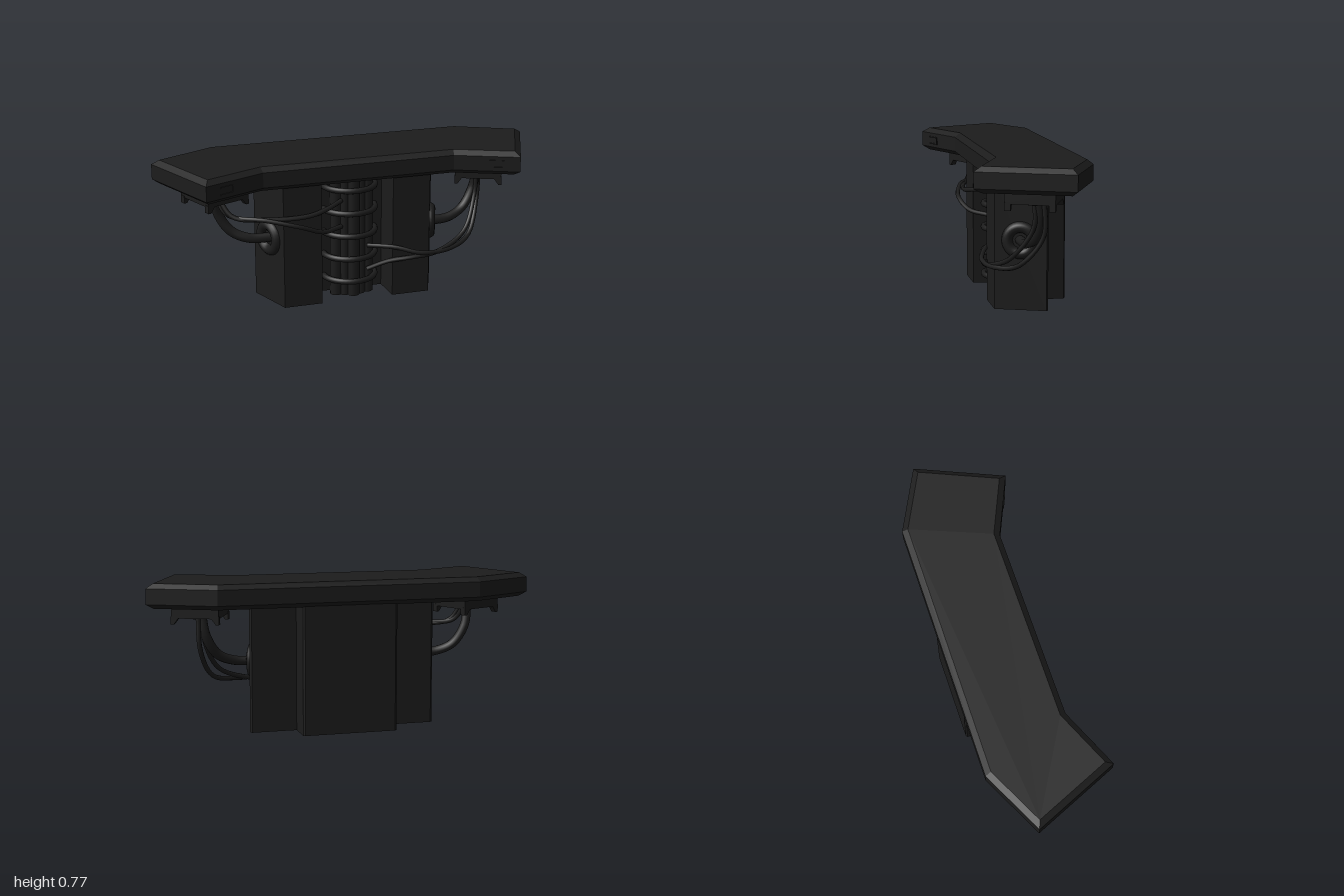
import * as THREE from 'three';

const WING = 0.41; // angle of the side wings
const mat = new THREE.MeshStandardMaterial({ color: 0x1c1c1c, roughness: 0.8 });

function add(parent, name, geometry) {
  const mesh = new THREE.Mesh(geometry, mat);
  mesh.name = name;
  parent.add(mesh);
  return mesh;
}

// Mirrors a half outline [x, z] across x = 0 and extrudes it along y
function slab(half, top, options) {
  const pts = [...half, ...half.map(([x, z]) => [-x, z]).reverse()];
  const shape = new THREE.Shape(pts.map(([x, z]) => new THREE.Vector2(x, z)));
  const geo = new THREE.ExtrudeGeometry(shape, options);
  return geo.rotateX(Math.PI / 2).translate(0, top, 0);
}

function cable(parent, name, points, radius) {
  const curve = new THREE.CatmullRomCurve3(points.map((p) => new THREE.Vector3(...p)));
  return add(parent, name, new THREE.TubeGeometry(curve, 32, radius, 8));
}

export function createModel() {
  const model = new THREE.Group();
  model.name = 'desk';

  // Bevelled top with angled wings
  add(model, 'deskTop', slab(
    [[0.675, -0.3], [1, -0.14], [0.81, 0.3], [0.5, 0.165]], 0.75,
    { depth: 0.078, bevelThickness: 0.023, bevelSize: 0.03, bevelOffset: -0.03, bevelSegments: 1 }));

  // Pedestal: two columns, a back block and a recess at the front
  add(model, 'pedestal', slab(
    [[0.235, -0.275], [0.245, -0.268], [0.245, -0.132], [0.475, -0.132], [0.485, -0.122],
      [0.39, 0.12], [0.19, 0.12], [0.18, -0.04]], 0.655,
    { depth: 0.655, bevelEnabled: false }));

  // Vertical pipes in the recess, tied by curved hoops
  for (let i = -2; i <= 2; i++) {
    const r = i % 2 ? 0.026 : 0.032;
    add(model, 'pipe', new THREE.CylinderGeometry(r, r, 0.655, 12))
      .position.set(i * 0.042, 0.3275, 0.045 - Math.abs(i) * 0.018);
  }
  for (let i = 0; i < 5; i++) {
    const hoop = add(model, 'pipeHoop', new THREE.TorusGeometry(0.137, 0.016, 8, 24, Math.PI));
    hoop.rotation.x = Math.PI / 2;
    hoop.position.set(0, 0.09 + i * 0.124, -0.04);
  }

  // Hook profile for the bracket corners
  const hookShape = new THREE.Shape([[0, 0.01], [0, -0.03], [0.016, -0.03], [0.045, 0.01]]
    .map(([x, y]) => new THREE.Vector2(x, y)).reverse());

  for (const s of [1, -1]) {
    const side = s > 0 ? 'left' : 'right';

    // Bracket under the wing
    const bracket = new THREE.Group();
    bracket.name = side + 'Bracket';
    bracket.position.set(s * 0.71, 0.59, -0.008);
    bracket.rotation.y = -s * WING;
    model.add(bracket);
    add(bracket, 'bracketPlate', new THREE.BoxGeometry(0.24, 0.065, 0.24)).position.y = 0.0325;
    add(bracket, 'cableSocket', new THREE.CylinderGeometry(0.05, 0.04, 0.02, 16)).position.y = -0.006;
    for (const a of [1, -1]) for (const b of [1, -1]) {
      const geo = new THREE.ExtrudeGeometry(hookShape, { depth: 0.03, bevelEnabled: false });
      const hook = add(bracket, 'hook', geo.translate(0, 0, -0.015));
      hook.position.set(a * 0.122, 0, b * 0.105);
      hook.rotation.y = a > 0 ? Math.PI : 0;
    }

    // Small latch frame on the front edge of the wing
    const latch = new THREE.Group();
    latch.name = side + 'Latch';
    latch.position.set(s * 0.7, 0.71, 0.252);
    latch.rotation.y = -s * WING;
    model.add(latch);
    for (const t of [1, -1]) {
      add(latch, 'latchBar', new THREE.BoxGeometry(0.075, 0.006, 0.01)).position.y = t * 0.018;
    }
    add(latch, 'latchEnd', new THREE.BoxGeometry(0.006, 0.042, 0.01)).position.x = -s * 0.035;

    // Cable port on the slanted column side
    const port = add(model, side + 'CablePort', new THREE.TorusGeometry(0.066, 0.028, 12, 32));
    port.position.set(s * 0.437, 0.35, 0);
    port.rotation.y = s * 1.195;

    // Thick power cable
    cable(model, side + 'ThickCable', [
      [s * 0.71, 0.6, -0.03], [s * 0.69, 0.49, -0.045], [s * 0.63, 0.395, -0.03],
      [s * 0.54, 0.355, -0.005], [s * 0.42, 0.35, 0]], 0.025);
  }

  // Thin cables from the left bracket to the pipes
  cable(model, 'leftThinCable', [
    [0.73, 0.6, -0.05], [0.72, 0.42, -0.05], [0.64, 0.27, 0.05], [0.5, 0.235, 0.14],
    [0.33, 0.24, 0.172], [0.2, 0.27, 0.13], [0.07, 0.27, 0.06]], 0.012);
  cable(model, 'leftThinCable', [
    [0.7, 0.6, -0.01], [0.69, 0.46, -0.01], [0.6, 0.3, 0.08], [0.42, 0.23, 0.155],
    [0.28, 0.215, 0.155], [0.17, 0.19, 0.11], [0.07, 0.14, 0.06]], 0.012);

  // Thin cables from the right bracket to the pipes
  cable(model, 'rightThinCable', [
    [-0.71, 0.6, 0], [-0.66, 0.51, 0.05], [-0.48, 0.49, 0.14], [-0.31, 0.45, 0.178],
    [-0.19, 0.4, 0.14], [-0.07, 0.39, 0.06]], 0.012);
  cable(model, 'rightThinCable', [
    [-0.7, 0.6, 0.02], [-0.64, 0.505, 0.07], [-0.45, 0.49, 0.13], [-0.27, 0.495, 0.148],
    [-0.17, 0.51, 0.12], [-0.07, 0.53, 0.06]], 0.012);

  return model;
}
